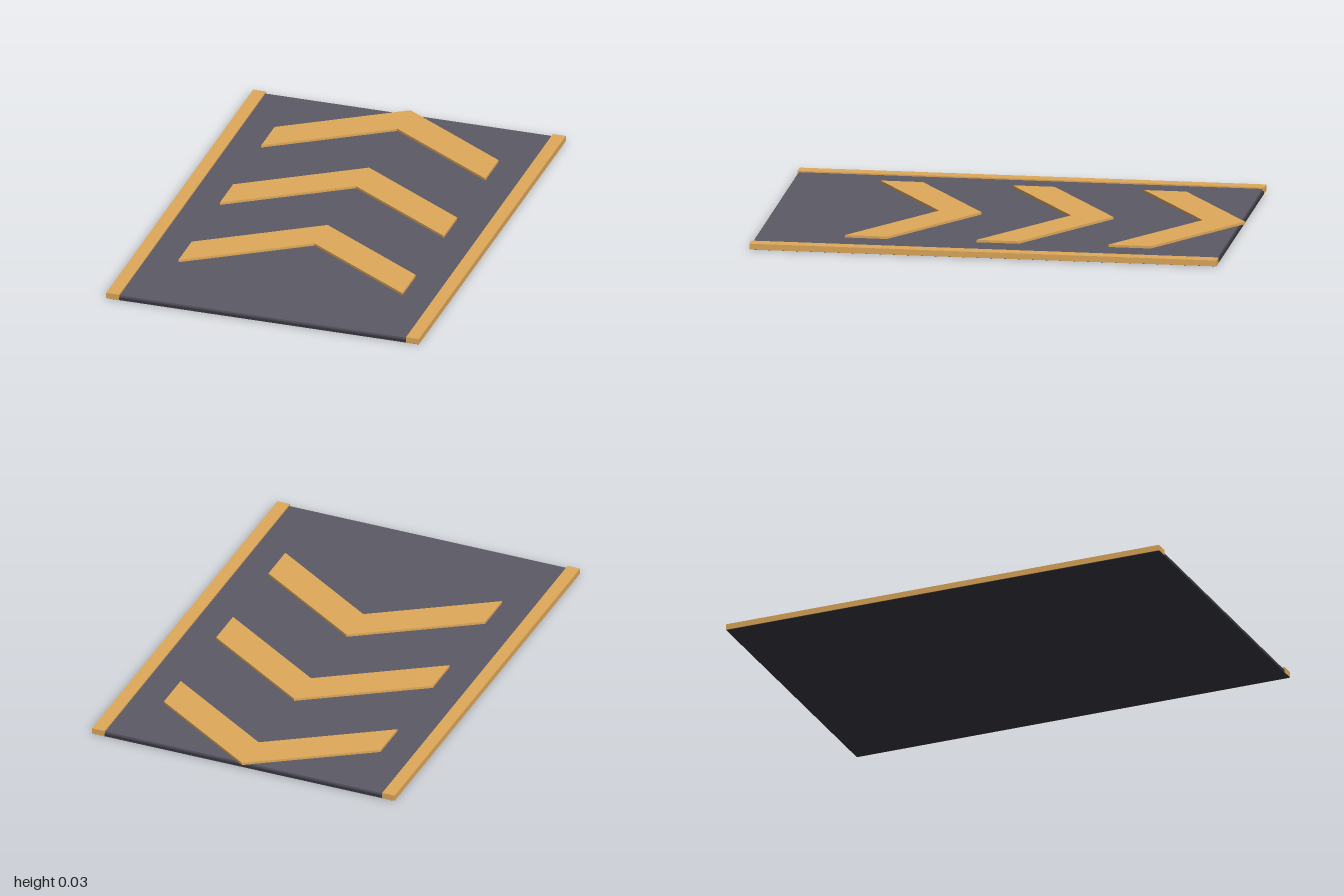
import * as THREE from 'three';

export function createModel() {
  const group = new THREE.Group();
  const orange = new THREE.MeshStandardMaterial({ color: 0xe0a95a });
  const grey = new THREE.MeshStandardMaterial({ color: 0x5c5a66 });
  const dark = new THREE.MeshStandardMaterial({ color: 0x3a3943 });

  const add = (name, geometry, material, x, y, z) => {
    const mesh = new THREE.Mesh(geometry, material);
    mesh.name = name;
    mesh.position.set(x, y, z);
    group.add(mesh);
  };
  const midZ = 0.0075;

  // Dark base plate with a slightly inset panel on top
  add('basePlate', new THREE.BoxGeometry(1.376, 0.012, 1.983), dark, 0, 0.006, midZ);
  add('topPanel', new THREE.BoxGeometry(1.28, 0.009, 1.97), grey, 0, 0.0155, midZ);

  // Raised rails along both long sides
  for (const side of [-1, 1]) {
    add(side > 0 ? 'leftRail' : 'rightRail',
      new THREE.BoxGeometry(0.057, 0.025, 1.985), orange, side * 0.6625, 0.0135, midZ);
  }

  // Three chevrons pointing to the back
  const outline = [[0, 0], [-0.495, -0.325], [-0.495, -0.505], [0, -0.18], [0.495, -0.505], [0.495, -0.325]];
  const chevron = new THREE.ExtrudeGeometry(
    new THREE.Shape(outline.map(([x, y]) => new THREE.Vector2(x, y))),
    { depth: 0.011, bevelEnabled: false });
  chevron.rotateX(-Math.PI / 2);
  for (let i = 0; i < 3; i++) {
    add('chevron' + (i + 1), chevron, orange, 0, 0.0195, -1 + i * 0.56);
  }
  return group;
}
